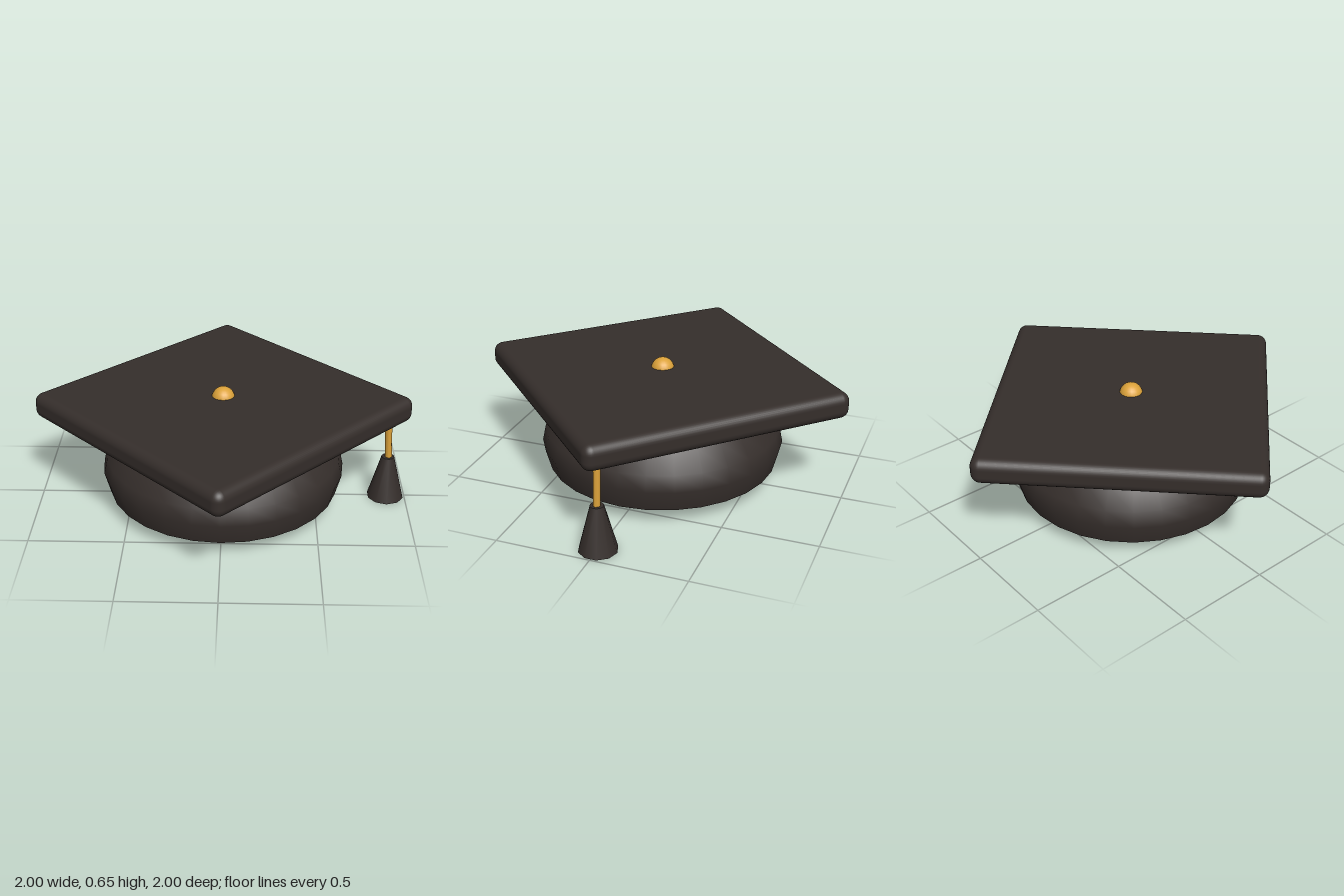
import * as THREE from 'three';
import { RoundedBoxGeometry } from 'three/addons/geometries/RoundedBoxGeometry.js';

export function createModel() {
  const group = new THREE.Group();
  const cloth = new THREE.MeshStandardMaterial({ color: 0x352e2b });
  const gold = new THREE.MeshStandardMaterial({ color: 0xdca23a });

  const add = (name, geometry, material, x, y, z = 0) => {
    const mesh = new THREE.Mesh(geometry, material);
    mesh.name = name;
    mesh.position.set(x, y, z);
    group.add(mesh);
    return mesh;
  };

  // Square board turned on its corner
  const board = add('board', new RoundedBoxGeometry(1.444, 0.14, 1.444, 4, 0.05), cloth, 0, 0.535);
  board.rotation.y = Math.PI / 4;

  // Domed head piece, closing inside the board
  const profile = [[0.62, 0.085], [0.651, 0.2], [0.632, 0.285], [0.56, 0.39], [0.448, 0.47], [0.3, 0.52], [0, 0.54]];
  add('headPiece', new THREE.LatheGeometry(profile.map(([r, y]) => new THREE.Vector2(r, y)), 28), cloth, 0, 0);

  // Flat underside with a slightly turned-in rim
  const underside = [[0, 0.078], [0.55, 0.078], [0.62, 0.085]];
  add('underside', new THREE.LatheGeometry(underside.map(([r, y]) => new THREE.Vector2(r, y)), 28), cloth, 0, 0);

  // Button on top
  add('button', new THREE.SphereGeometry(0.062, 20, 14), gold, 0, 0.591);

  // Cord hanging from the left corner of the board
  const cordPath = new THREE.LineCurve3(new THREE.Vector3(0.881, 0.53, 0), new THREE.Vector3(0.899, 0.22, 0));
  add('tasselCord', new THREE.TubeGeometry(cordPath, 1, 0.019, 8), gold, 0, 0);

  // Tassel
  add('tassel', new THREE.CylinderGeometry(0.035, 0.1, 0.246, 10), cloth, 0.896, 0.123);

  return group;
}
